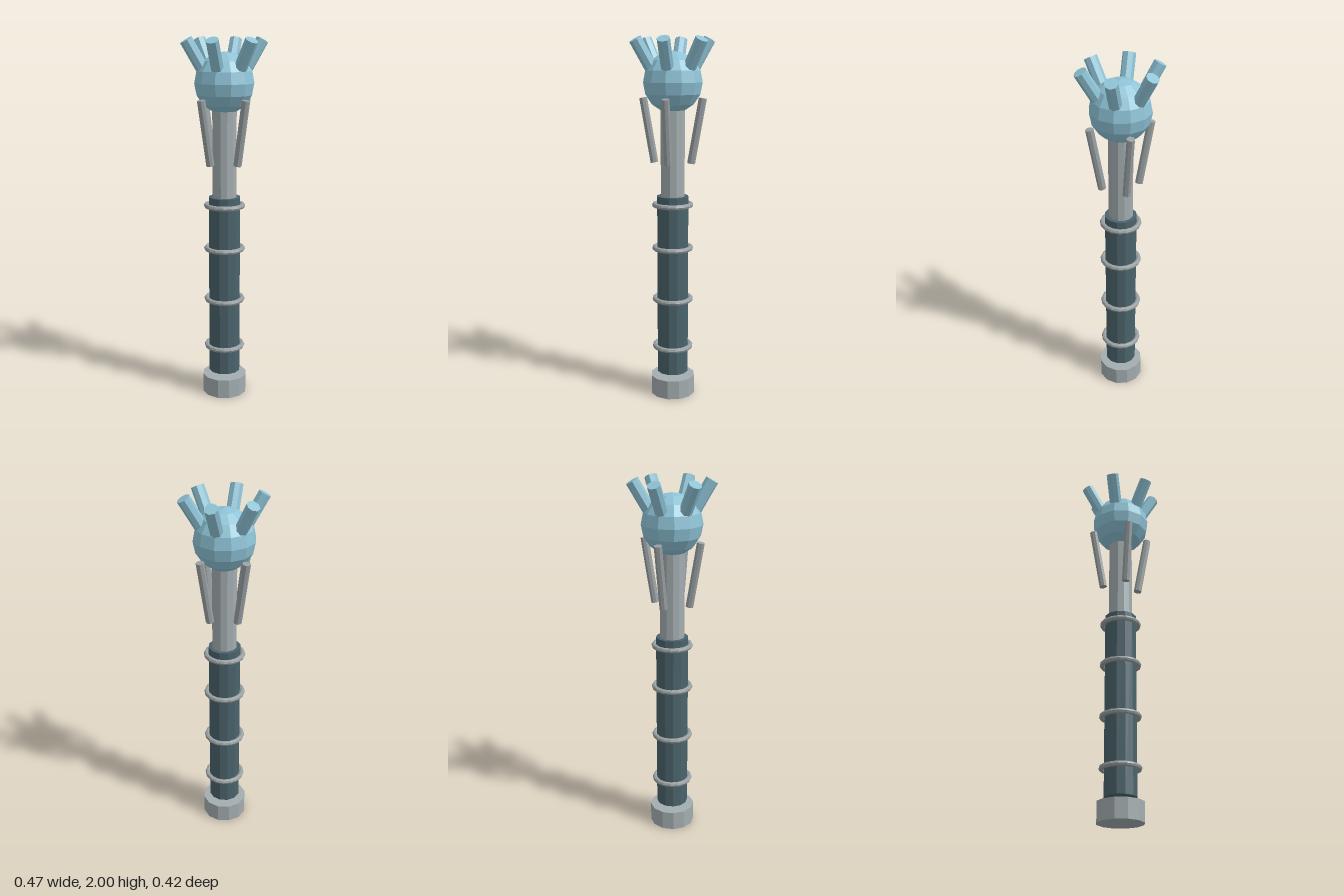
import * as THREE from 'three';

const mat = (name, color) => {
  const m = new THREE.MeshStandardMaterial({ color, flatShading: true });
  m.name = name;
  return m;
};

export function createModel() {
  const model = new THREE.Group();
  model.name = 'scepter';
  const blue = mat('pale blue', 0x8ec3d6);
  const steel = mat('light steel', 0xa3adb0);
  const trim = mat('grey trim', 0x9aa1a3);
  const grip = mat('dark teal', 0x4a636b);

  const add = (name, geometry, material, parent = model) => {
    const mesh = new THREE.Mesh(geometry, material);
    mesh.name = name;
    parent.add(mesh);
    return mesh;
  };

  // Upright cylinder between two heights
  const column = (name, r, y0, y1, material) => {
    add(name, new THREE.CylinderGeometry(r, r, y1 - y0, 12), material).position.y = (y0 + y1) / 2;
  };

  // Ring of outward-leaning cylinders around the vertical axis
  const radialSet = (name, count, start, r, length, sides, dist, y, tilt, material) => {
    for (let i = 0; i < count; i++) {
      const arm = new THREE.Group();
      arm.name = `${name}${i + 1}`;
      arm.rotation.y = start + (i / count) * Math.PI * 2;
      const mesh = add(name, new THREE.CylinderGeometry(r, r, length, sides), material, arm);
      mesh.position.set(dist, y, 0);
      mesh.rotation.z = -tilt;
      model.add(arm);
    }
  };

  // Pommel, grip sleeve and shaft
  column('pommel', 0.125, 0, 0.107, steel);
  column('gripSleeve', 0.088, 0.13, 1.146, grip);
  column('shaft', 0.067, 1.0, 1.66, steel);

  // Bands around the grip
  for (const y of [0.281, 0.56, 0.855, 1.098]) {
    const ring = add('gripRing', new THREE.TorusGeometry(0.1, 0.014, 8, 16), trim);
    ring.rotation.x = Math.PI / 2;
    ring.position.y = y;
  }

  // Head with its crown of spikes
  add('headSphere', new THREE.SphereGeometry(0.163, 12, 8), blue).position.y = 1.76;
  radialSet('spike', 6, 0, 0.035, 0.2, 8, 0.154, 1.896, Math.PI / 6, blue);

  // Slim rods leaning out below the head
  radialSet('rod', 4, 0, 0.022, 0.354, 8, 0.133, 1.503, Math.PI / 18, trim);

  return model;
}
